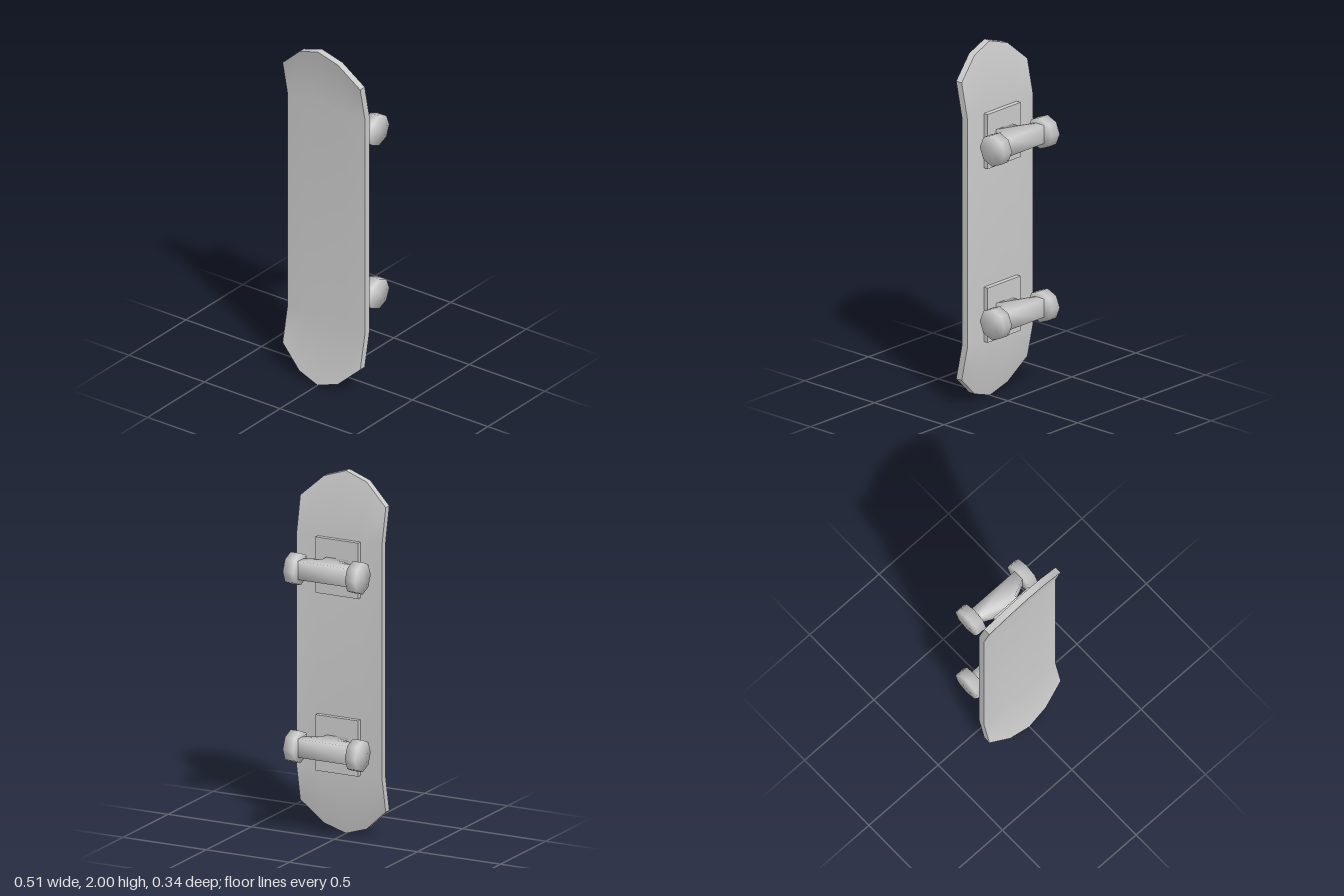
import * as THREE from 'three';
import { mergeVertices } from 'three/addons/utils/BufferGeometryUtils.js';

const material = new THREE.MeshStandardMaterial({ color: 0xcccccc });

// Share vertices so that normals run smoothly over all edges
function smooth(geometry) {
  geometry.deleteAttribute('normal');
  geometry.deleteAttribute('uv');
  const merged = mergeVertices(geometry, 1e-4);
  merged.computeVertexNormals();
  return merged;
}

function addMesh(parent, name, geometry, x = 0, y = 0, z = 0) {
  const mesh = new THREE.Mesh(geometry, material);
  mesh.name = name;
  mesh.position.set(x, y, z);
  parent.add(mesh);
  return mesh;
}

// Board with a faceted rounded outline, bent forward at both ends
function deckGeometry() {
  const halfWidth = 0.257, bend = 0.643, kick = 0.075;
  const tipHeights = [0.998, 0.955, 0.838]; // centre, middle, side
  const geometry = new THREE.BoxGeometry(2, 2, 0.04, 4, 3, 1);
  const p = geometry.attributes.position;
  for (let i = 0; i < p.count; i++) {
    const column = Math.round(Math.abs(p.getX(i)) * 2);
    const isTip = Math.abs(p.getY(i)) > 0.9;
    const height = isTip ? tipHeights[column] : bend;
    const lift = kick * (height - bend) / (tipHeights[0] - bend);
    p.setXYZ(i, p.getX(i) * halfWidth, Math.sign(p.getY(i)) * height, p.getZ(i) + lift);
  }
  geometry.computeVertexNormals();
  return geometry;
}

// Post that flares out into the axle housing, with a constant height
function hangerGeometry() {
  const half = [[0.064, -0.03], [0.064, 0.012], [0.16, 0.055], [0.16, 0.115]];
  const mirrored = half.map(([x, y]) => [-x, y]).reverse();
  const shape = new THREE.Shape([...half, ...mirrored].map(([x, y]) => new THREE.Vector2(x, y)));
  const geometry = new THREE.ExtrudeGeometry(shape, { depth: 0.102, bevelEnabled: false });
  geometry.translate(0, 0, -0.051).rotateX(-Math.PI / 2);
  return smooth(geometry);
}

export function createModel() {
  const model = new THREE.Group();
  model.name = 'skateboard';
  addMesh(model, 'deck', deckGeometry(), 0, 1.002, 0.075);

  const plate = new THREE.BoxGeometry(0.257, 0.307, 0.03);
  const hanger = hangerGeometry();
  const wheel = smooth(new THREE.CylinderGeometry(0.088, 0.088, 0.06, 8).rotateZ(Math.PI / 2));

  // Two trucks, each with a base plate, hanger and pair of wheels
  for (const [name, y] of [['upperTruck', 1.49], ['lowerTruck', 0.512]]) {
    const truck = new THREE.Group();
    truck.name = name;
    truck.position.y = y;
    addMesh(truck, 'basePlate', plate, 0, 0, 0.043);
    addMesh(truck, 'hanger', hanger);
    addMesh(truck, 'leftWheel', wheel, 0.187, 0, -0.085);
    addMesh(truck, 'rightWheel', wheel, -0.187, 0, -0.085);
    model.add(truck);
  }
  return model;
}
